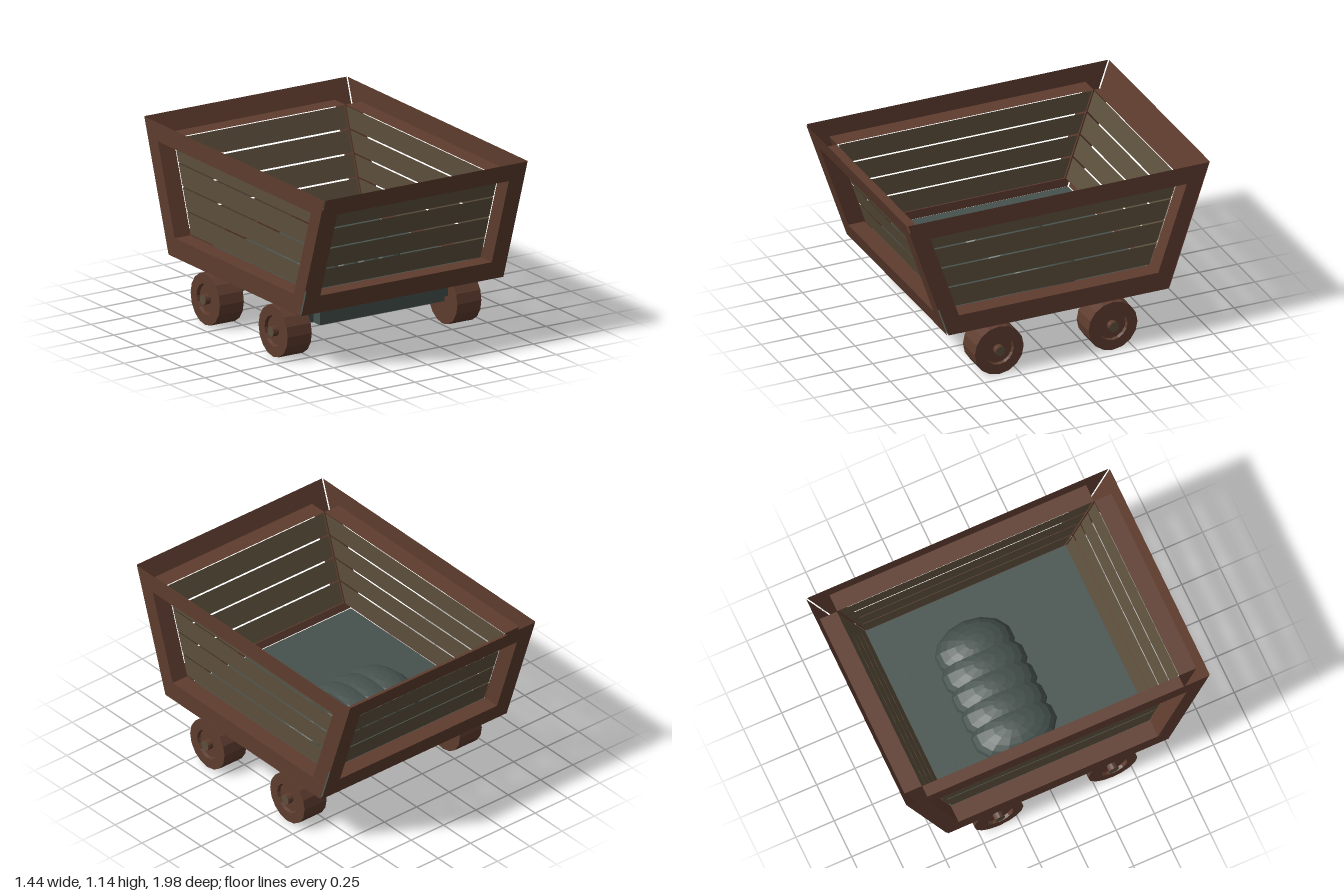
import * as THREE from 'three';

const mat = (name, color, side = THREE.FrontSide) => {
  const m = new THREE.MeshStandardMaterial({ color, side, flatShading: true });
  m.name = name;
  return m;
};

const BOTTOM = 0.355, TOP = 1.145, HOLE_LOW = 0.475, HOLE_HIGH = 1.03;
const WALL_X = 0.72, DEPTH = 0.112;
// half length of the cart at height y (ends lean outward)
const endZ = (y) => 0.725 + ((y - 0.35) / 0.795) * 0.267;

// flat-shaded mesh from a list of four-cornered faces
function quads(name, faces, material) {
  const pos = [];
  for (const [a, b, c, d] of faces) {
    for (const p of [a, b, c, a, c, d]) pos.push(p.x, p.y, p.z);
  }
  const g = new THREE.BufferGeometry();
  g.setAttribute('position', new THREE.Float32BufferAttribute(pos, 3));
  g.computeVertexNormals();
  const mesh = new THREE.Mesh(g, material);
  mesh.name = name;
  return mesh;
}

// wall: sheet frame around an opening, lining of the opening, four recessed planks
function wall(name, at, outer, inner, frameMat, plankMat) {
  const group = new THREE.Group();
  group.name = name;
  const ring = (half, lo, hi, d) => [
    at(-half(lo), lo, d), at(half(lo), lo, d), at(half(hi), hi, d), at(-half(hi), hi, d),
  ];
  const join = (a, b) => a.map((p, i) => [p, a[(i + 1) % 4], b[(i + 1) % 4], b[i]]);
  const out = ring(outer, BOTTOM, TOP, 0);
  const hole = ring(inner, HOLE_LOW, HOLE_HIGH, 0);
  const back = ring(inner, HOLE_LOW, HOLE_HIGH, DEPTH);
  group.add(quads('frameFace', join(out, hole), frameMat));
  group.add(quads('frameLining', join(hole, back), frameMat));

  const step = (HOLE_HIGH - HOLE_LOW) / 4;
  const plankHalf = (y) => inner(y) - 0.008;
  for (let i = 0; i < 4; i++) {
    const lo = HOLE_LOW + i * step + 0.005;
    group.add(quads('plank', [ring(plankHalf, lo, lo + step - 0.01, DEPTH)], plankMat));
  }
  return group;
}

function wheel(s, frameMat, plankMat) {
  const group = new THREE.Group();
  group.name = 'wheel';
  // solid wheel with a recessed hub disc on the outer face
  const profile = [[0, -0.085], [0.16, -0.085], [0.16, 0.085], [0.095, 0.085], [0.09, 0.065], [0, 0.065]]
    .map(([r, y]) => new THREE.Vector2(r, y));
  const body = new THREE.Mesh(new THREE.LatheGeometry(profile, 16), frameMat);
  body.name = 'wheelBody';
  const cap = new THREE.Mesh(new THREE.CylinderGeometry(0.032, 0.032, 0.04, 12), [frameMat, plankMat, frameMat]);
  cap.name = 'hubCap';
  cap.position.y = 0.083;
  group.add(body, cap);
  group.rotation.z = -s * Math.PI / 2;
  return group;
}

export function createModel() {
  const model = new THREE.Group();
  model.name = 'mineCart';
  const frameMat = mat('reddish brown', 0x5e3c2e, THREE.DoubleSide);
  const plankMat = mat('plank brown', 0x5c4f3c, THREE.DoubleSide);
  const greyMat = mat('slate grey', 0x46524e);

  const box = (name, w, h, d, x, y, z) => {
    const m = new THREE.Mesh(new THREE.BoxGeometry(w, h, d), greyMat);
    m.name = name;
    m.position.set(x, y, z);
    model.add(m);
  };

  // four walls
  for (const s of [1, -1]) {
    model.add(wall(s > 0 ? 'leftWall' : 'rightWall',
      (u, y, d) => new THREE.Vector3(s * (WALL_X - d), y, u),
      (y) => endZ(y) - 0.007, (y) => endZ(y) - 0.115, frameMat, plankMat));
    model.add(wall(s > 0 ? 'frontWall' : 'backWall',
      (u, y, d) => new THREE.Vector3(u, y, s * (endZ(y) - d)),
      () => 0.715, () => 0.607, frameMat, plankMat));
  }

  // floor and chassis
  box('floor', 1.42, 0.006, 1.43, 0, 0.357, 0);
  box('chassis', 0.88, 0.17, 1.01, 0, 0.277, 0);

  // heap of ore: overlapping rounded lumps
  for (let i = -2; i <= 2; i++) {
    const lump = new THREE.Mesh(
      new THREE.SphereGeometry(1, 14, 6, 0, Math.PI * 2, 0, Math.PI / 2), greyMat);
    lump.name = 'oreLump';
    lump.scale.set(0.18, 0.125, i === 2 ? 0.25 : 0.27);
    lump.position.set(i * 0.14 - 0.003, 0.36, -0.09);
    model.add(lump);
  }

  // axle blocks and wheels
  for (const s of [1, -1]) {
    for (const z of [0.372, -0.372]) {
      box('axleBlock', 0.1, 0.07, 0.12, s * 0.47, 0.227, z);
      const w = wheel(s, frameMat, plankMat);
      w.position.set(s * 0.6, 0.163, z);
      model.add(w);
    }
  }
  return model;
}
